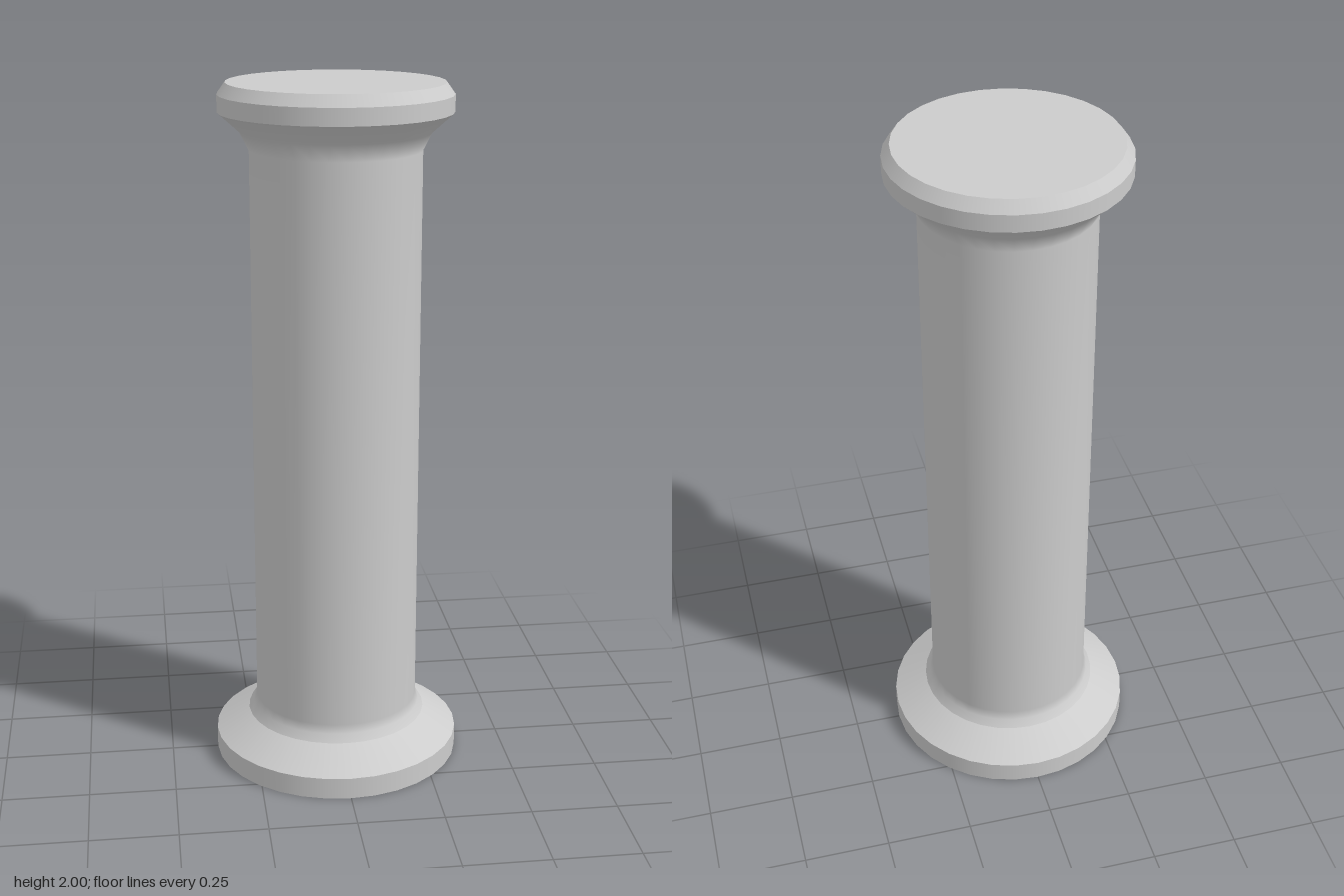
import * as THREE from 'three';

const SEGMENTS = 32;

export function createModel() {
  const group = new THREE.Group();
  group.name = 'column';

  const stone = new THREE.MeshStandardMaterial({ color: 0xcccccc });
  stone.name = 'grey stone';

  // Each band is a smooth lathe; separate bands keep the edges between them sharp.
  const band = (name, profile) => {
    const points = profile.map(([r, y]) => new THREE.Vector2(r, y));
    const mesh = new THREE.Mesh(new THREE.LatheGeometry(points, SEGMENTS), stone);
    mesh.name = name;
    group.add(mesh);
  };

  // Base
  band('baseUnderside', [[0, 0], [0.363, 0]]);
  band('basePlinth', [[0.363, 0], [0.363, 0.063]]);
  band('baseSlope', [[0.363, 0.063], [0.265, 0.125]]);

  // Shaft with its flared foot and neck
  band('shaft', [
    [0.265, 0.125], [0.25, 0.148], [0.241, 0.172],
    [0.241, 1.815], [0.266, 1.865], [0.327, 1.92],
  ]);

  // Capital
  band('capitalRim', [[0.327, 1.92], [0.327, 1.968]]);
  band('capitalBevel', [[0.327, 1.968], [0.304, 2]]);
  band('capitalTop', [[0.304, 2], [0, 2]]);

  return group;
}
